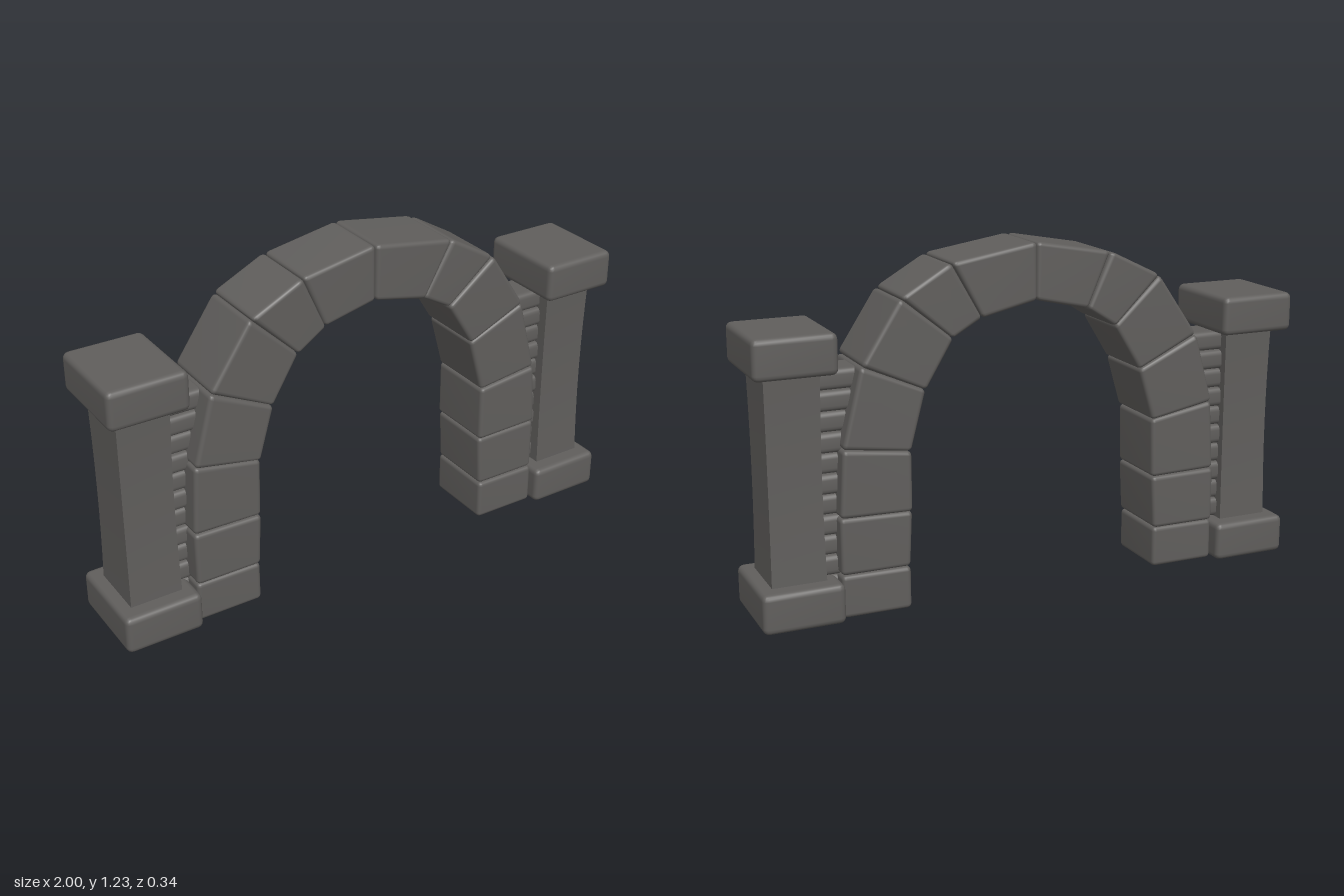
import * as THREE from 'three';
import { mergeVertices } from 'three/addons/utils/BufferGeometryUtils.js';
import { RoundedBoxGeometry } from 'three/addons/geometries/RoundedBoxGeometry.js';

const stone = new THREE.MeshStandardMaterial({ color: 0x605e5c });
stone.name = 'dark grey stone';

// Arch joints from the right foot over the crown to the left foot: outer x, y, inner x, y
const joints = [
  [-0.715, 0, -0.47, 0], [-0.715, 0.15, -0.47, 0.15], [-0.715, 0.35, -0.46, 0.345],
  [-0.7, 0.605, -0.455, 0.56], [-0.63, 0.86, -0.4, 0.75], [-0.475, 1.085, -0.3, 0.915],
  [-0.28, 1.18, -0.195, 0.985], [0, 1.23, 0, 1.03], [0.31, 1.18, 0.2, 0.985],
  [0.49, 1.075, 0.305, 0.925], [0.63, 0.86, 0.405, 0.76], [0.7, 0.585, 0.46, 0.555],
  [0.715, 0.35, 0.46, 0.345], [0.715, 0.15, 0.47, 0.15], [0.715, 0, 0.47, 0],
];

function add(group, name, geometry) {
  const mesh = new THREE.Mesh(geometry, stone);
  mesh.name = name;
  group.add(mesh);
  return mesh;
}

// Weld the bevels so the edges shade softly
function soften(geometry) {
  geometry.deleteAttribute('normal');
  geometry.deleteAttribute('uv');
  const welded = mergeVertices(geometry, 1e-4);
  welded.computeVertexNormals();
  return welded;
}

const block = (w, h, d, r) => soften(new RoundedBoxGeometry(w, h, d, 2, r));

// Bevelled block bent to the quad between two neighbouring joints
function archStone(a, b, depth) {
  const length = Math.hypot(b[0] + b[2] - a[0] - a[2], b[1] + b[3] - a[1] - a[3]) / 2;
  const height = Math.hypot(a[0] - a[2], a[1] - a[3]);
  const geo = new RoundedBoxGeometry(length, height, depth, 2, 0.016);
  const p = geo.attributes.position;
  const mix = THREE.MathUtils.lerp;
  for (let i = 0; i < p.count; i++) {
    const u = p.getX(i) / length + 0.5;
    const v = p.getY(i) / height + 0.5;
    p.setXY(i,
      mix(mix(a[2], b[2], u), mix(a[0], b[0], u), v),
      mix(mix(a[3], b[3], u), mix(a[1], b[1], u), v));
  }
  return soften(geo);
}

// Square shaft with a slight waist
function shaftGeometry() {
  const geo = new THREE.BoxGeometry(0.19, 0.75, 0.22, 1, 8, 1);
  const p = geo.attributes.position;
  for (let i = 0; i < p.count; i++) {
    const t = p.getY(i) / 0.375;
    const s = 0.92 + 0.08 * t * t;
    p.setX(i, p.getX(i) * (0.5 + s / 2));
    p.setZ(i, p.getZ(i) * s);
  }
  geo.computeVertexNormals();
  return geo;
}

export function createModel() {
  const model = new THREE.Group();
  model.name = 'stoneArchway';

  const arch = new THREE.Group();
  arch.name = 'arch';
  model.add(arch);
  for (let i = 0; i < joints.length - 1; i++) {
    const depth = i % 2 ? 0.265 : 0.258;
    add(arch, 'archStone', archStone(joints[i], joints[i + 1], depth)).position.z = 0.003;
  }

  for (const side of [-1, 1]) {
    const name = side < 0 ? 'right' : 'left';

    // Pillar with matching base and cap
    const pillar = new THREE.Group();
    pillar.name = name + 'Pillar';
    pillar.position.x = side * 0.858;
    model.add(pillar);
    add(pillar, 'base', block(0.284, 0.14, 0.345, 0.022)).position.y = 0.07;
    add(pillar, 'shaft', shaftGeometry()).position.y = 0.495;
    add(pillar, 'cap', block(0.284, 0.14, 0.345, 0.022)).position.y = 0.92;

    // Thin courses filling the gap between pillar and arch
    const wall = new THREE.Group();
    wall.name = name + 'Wall';
    model.add(wall);
    const courses = 12, step = 0.85 / courses;
    for (let i = 0; i < courses; i++) {
      const depth = i % 2 ? 0.14 : 0.15;
      add(wall, 'course', block(0.25, step, depth, 0.02))
        .position.set(side * 0.675, (i + 0.5) * step, -0.005);
    }
  }
  return model;
}
